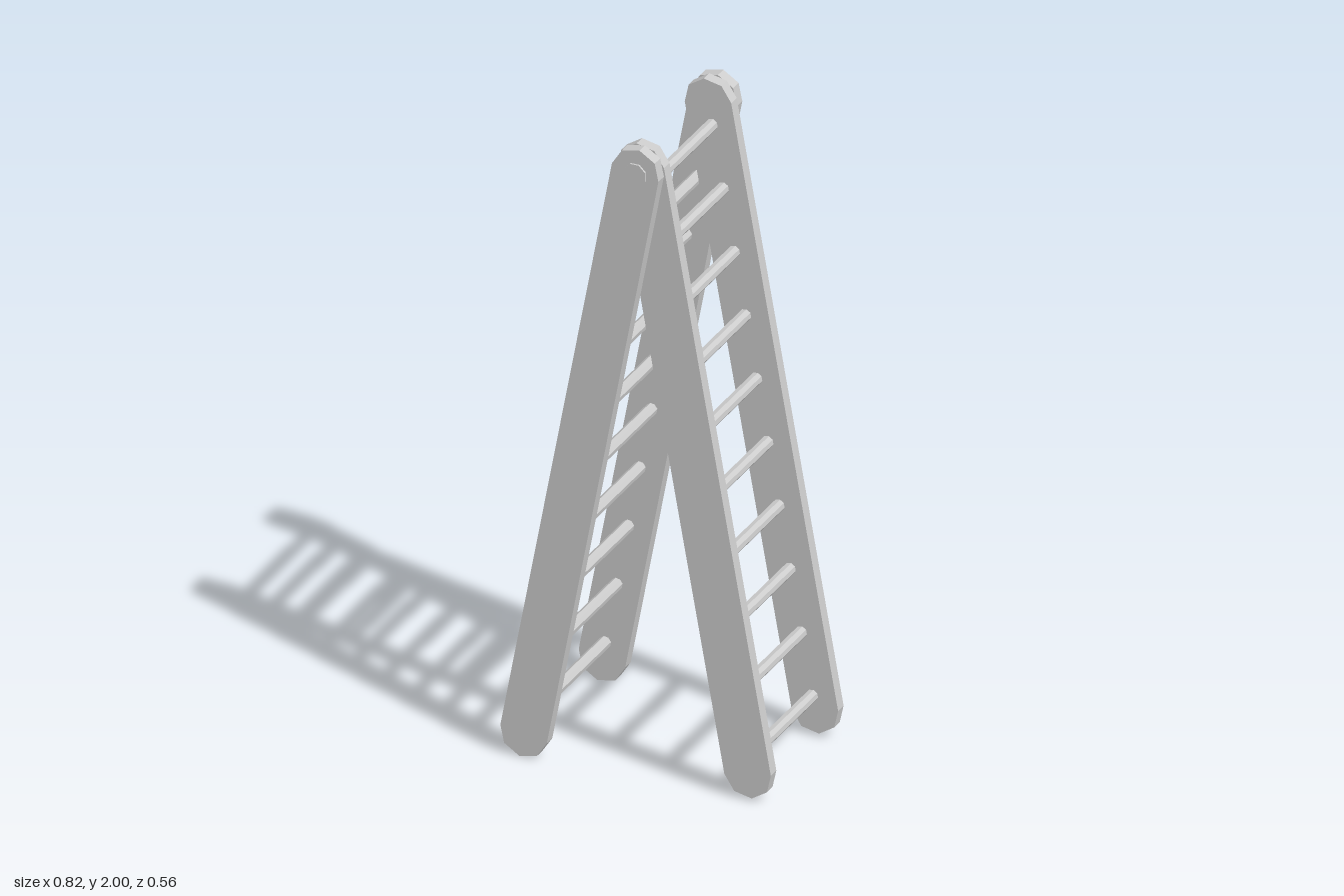
import * as THREE from 'three';

const material = new THREE.MeshStandardMaterial({ color: 0xcccccc, flatShading: true });
const PIVOT = { x: 0.0065, y: 1.928 };
const RADIUS = 0.0735;      // half width of a rail
const THICK = 0.036;        // rail thickness
const INNER = 0.2;          // inner face of the inner rails
const FIRST_RUNG = 0.069;   // distance from pivot to the top rung
const RUNG_STEP = 0.196;

function addMesh(parent, geometry, name, x, y, z) {
  const mesh = new THREE.Mesh(geometry, material);
  mesh.name = name;
  mesh.position.set(x, y, z);
  parent.add(mesh);
  return mesh;
}

// Flat board with faceted round ends, hanging down from the pivot
function railGeometry(length) {
  const points = [];
  for (let end = 0; end < 2; end++) {
    for (let i = 0; i <= 4; i++) {
      const a = end * Math.PI + (i * Math.PI) / 4;
      points.push(new THREE.Vector2(RADIUS * Math.cos(a), RADIUS * Math.sin(a) - end * length));
    }
  }
  return new THREE.ExtrudeGeometry(new THREE.Shape(points), { depth: THICK, bevelEnabled: false });
}

// One ladder half: two rails joined by rungs, swung about the pivot
function ladder(name, length, tilt, innerZ, firstRung) {
  const group = new THREE.Group();
  group.name = name;
  group.position.set(PIVOT.x, PIVOT.y, 0);
  group.rotation.z = tilt;

  const rail = railGeometry(length);
  addMesh(group, rail, 'frontRail', 0, 0, innerZ);
  addMesh(group, rail, 'backRail', 0, 0, -innerZ - THICK);

  const rung = new THREE.CylinderGeometry(0.0185, 0.0185, innerZ * 2, 8);
  rung.rotateY(Math.PI / 8);
  rung.rotateX(Math.PI / 2);
  for (let i = firstRung; i < 10; i++) {
    addMesh(group, rung, 'rung', 0, -FIRST_RUNG - i * RUNG_STEP, 0);
  }
  return group;
}

export function createModel() {
  const model = new THREE.Group();
  model.name = 'stepLadder';

  // The wider half wraps the narrower one and has no top rung
  model.add(ladder('outerLadder', 1.888, -0.185, INNER + THICK, 1));
  model.add(ladder('innerLadder', 1.878, 0.178, INNER, 0));

  // Hinge bolts through each pair of rails
  const boltLength = 2 * THICK + 0.006;
  const bolt = new THREE.CylinderGeometry(0.036, 0.036, boltLength, 8);
  bolt.rotateY(Math.PI / 8);
  bolt.rotateX(Math.PI / 2);
  for (const side of [1, -1]) {
    addMesh(model, bolt, 'hingeBolt', PIVOT.x, PIVOT.y - 0.006, side * (INNER + boltLength / 2));
  }
  return model;
}
